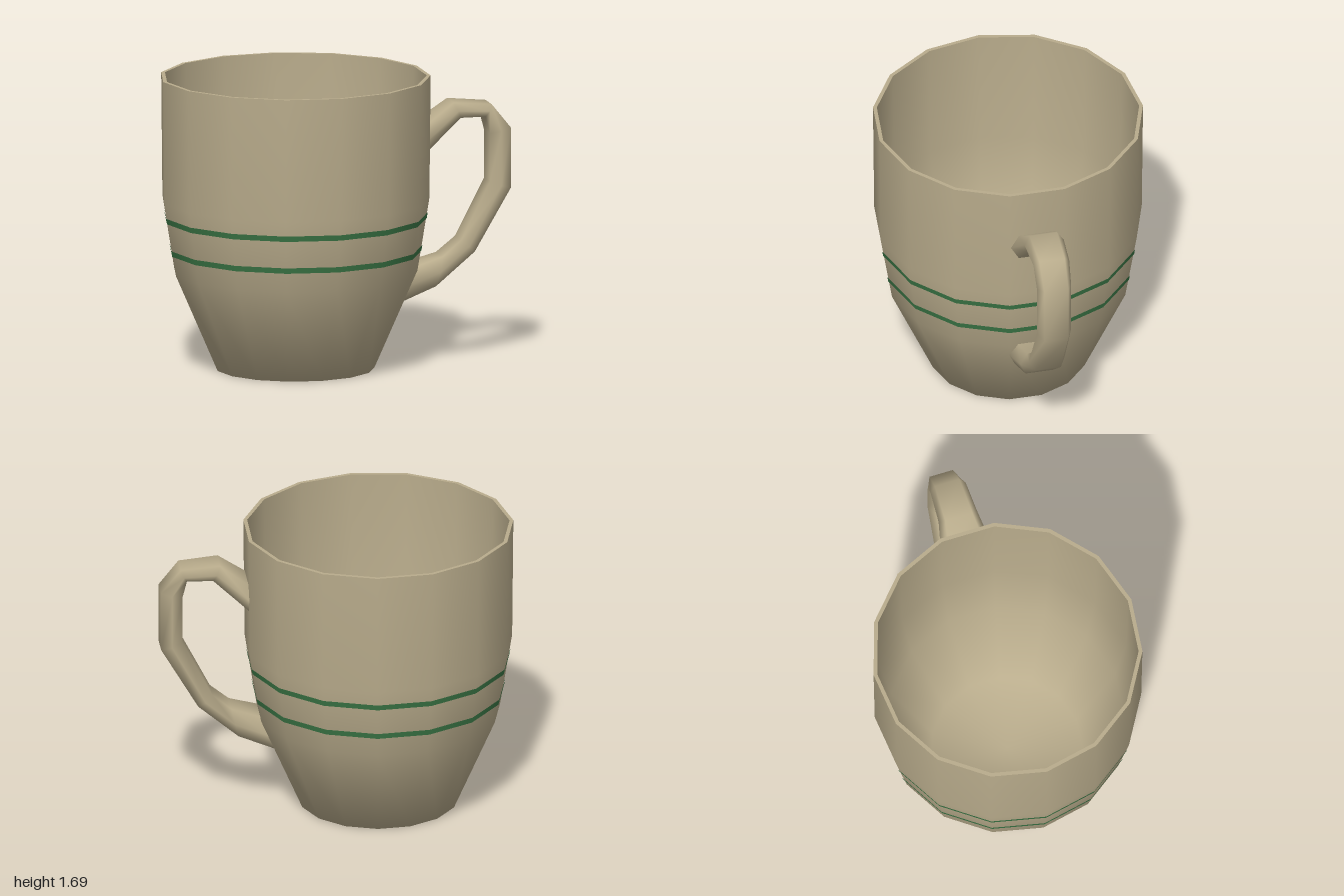
import * as THREE from 'three';

const SIDES = 15;
const CUP_X = -0.242;

export function createModel() {
  const root = new THREE.Group();
  root.name = 'mug';
  const clay = new THREE.MeshStandardMaterial({ color: 0xb9ac8c });
  clay.name = 'tan clay';
  const green = new THREE.MeshStandardMaterial({ color: 0x3a7545 });
  green.name = 'green glaze';

  // Cup parts are turned profiles with a corner on the +x side
  const turned = (name, profile, material) => {
    const points = profile.map(([r, y]) => new THREE.Vector2(r, y));
    const mesh = new THREE.Mesh(new THREE.LatheGeometry(points, SIDES, Math.PI / 2), material);
    mesh.name = name;
    mesh.position.x = CUP_X;
    root.add(mesh);
  };

  // Base and outer wall, rim, then the inside
  turned('outerWall', [[0, 0], [0.455, 0], [0.7, 0.56], [0.768, 0.98], [0.775, 1.69]], clay);
  turned('rim', [[0.775, 1.69], [0.753, 1.69]], clay);
  turned('innerWall', [[0.753, 1.69], [0.745, 0.98], [0.675, 0.56], [0.435, 0.04], [0, 0.04]], clay);

  // Two thin painted bands following the wall
  const wallRadius = (y) => 0.7 + (y - 0.56) * (0.068 / 0.42) + 0.004;
  for (const [name, y] of [['upperStripe', 0.88], ['lowerStripe', 0.69]]) {
    const edges = [y - 0.016, y + 0.016];
    turned(name, edges.map((h) => [wallRadius(h), h]), green);
  }

  // Handle stations: outer edge (distance, height), inner edge (distance, height), half width
  const stations = [
    [0.745, 1.39, 0.745, 1.23, 0.155],
    [0.915, 1.51, 0.955, 1.42, 0.115],
    [1.14, 1.49, 1.105, 1.42, 0.105],
    [1.253, 1.35, 1.13, 1.32, 0.1],
    [1.253, 1.0, 1.13, 1.04, 0.1],
    [1.04, 0.64, 0.96, 0.71, 0.105],
    [0.81, 0.45, 0.85, 0.62, 0.115],
    [0.6, 0.37, 0.68, 0.57, 0.14],
  ];
  const positions = [];
  const index = [];
  stations.forEach(([ox, oy, ix, iy, w], i) => {
    const mx = (ox + ix) / 2;
    const my = (oy + iy) / 2;
    const f = 0.7 * w;
    positions.push(ox, oy, f, ox, oy, -f, mx, my, -w, ix, iy, -f, ix, iy, f, mx, my, w);
    if (i === 0) return;
    for (let j = 0; j < 6; j++) {
      const a = (i - 1) * 6 + j;
      const b = (i - 1) * 6 + (j + 1) % 6;
      index.push(a, a + 6, b, b, a + 6, b + 6);
    }
  });
  const geometry = new THREE.BufferGeometry();
  geometry.setAttribute('position', new THREE.Float32BufferAttribute(positions, 3));
  geometry.setIndex(index);
  geometry.computeVertexNormals();

  // The handle grows from the middle of one wall facet
  const handle = new THREE.Mesh(geometry, clay);
  handle.name = 'handle';
  handle.position.x = CUP_X;
  handle.rotation.y = Math.PI / SIDES;
  root.add(handle);

  return root;
}
